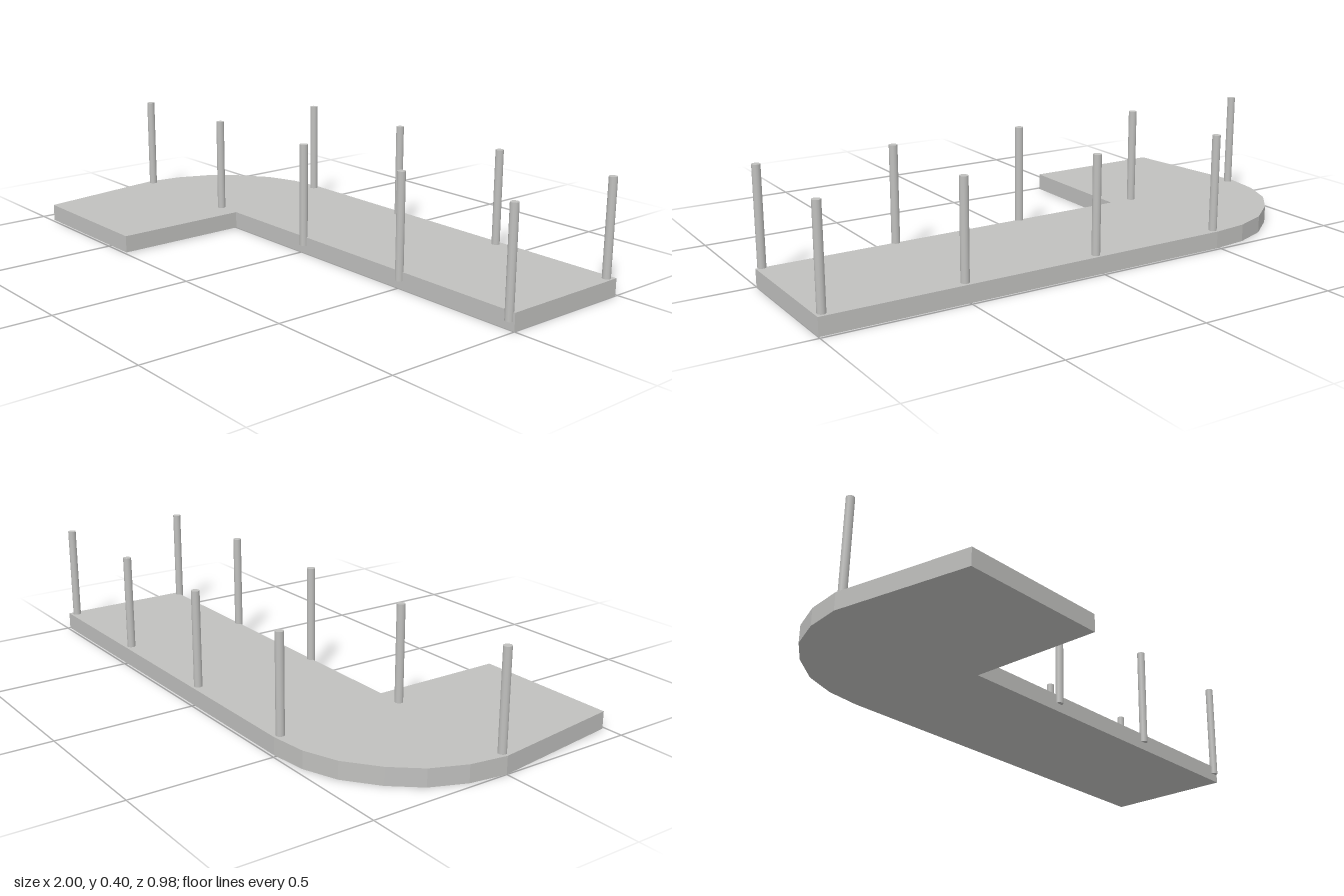
import * as THREE from 'three';

export function createModel() {
  const model = new THREE.Group();
  const grey = new THREE.MeshStandardMaterial({ color: 0xc0c0be });
  grey.name = 'concrete grey';

  // L-shaped deck with a faceted rounded corner, outline as [x, z]
  const outline = [
    [-0.93, 0.49], [-0.395, 0.49], [-0.395, 0], [1, 0], [1, -0.49], [-0.49, -0.49],
    [-0.62, -0.475], [-0.74, -0.43], [-0.85, -0.345], [-0.93, -0.25], [-0.98, -0.13], [-1, 0],
  ];
  const shape = new THREE.Shape(outline.map(([x, z]) => new THREE.Vector2(x, -z)));
  const deckGeometry = new THREE.ExtrudeGeometry(shape, { depth: 0.061, bevelEnabled: false });
  deckGeometry.rotateX(-Math.PI / 2);
  const deck = new THREE.Mesh(deckGeometry, grey);
  deck.name = 'deck';
  model.add(deck);

  // Two rows of slim posts, sunk halfway into the deck
  const bottom = 0.03, top = 0.4;
  const postGeometry = new THREE.CylinderGeometry(0.0145, 0.0145, top - bottom, 12);
  const rows = [
    { name: 'frontPost', z: 0.001, xs: [-0.975, -0.488, 0.013, 0.505, 0.978] },
    { name: 'backPost', z: -0.466, xs: [-0.488, 0.013, 0.505, 0.978] },
  ];
  for (const { name, z, xs } of rows) {
    xs.forEach((x, i) => {
      const post = new THREE.Mesh(postGeometry, grey);
      post.name = name + (i + 1);
      post.position.set(x, (bottom + top) / 2, z);
      model.add(post);
    });
  }
  return model;
}
